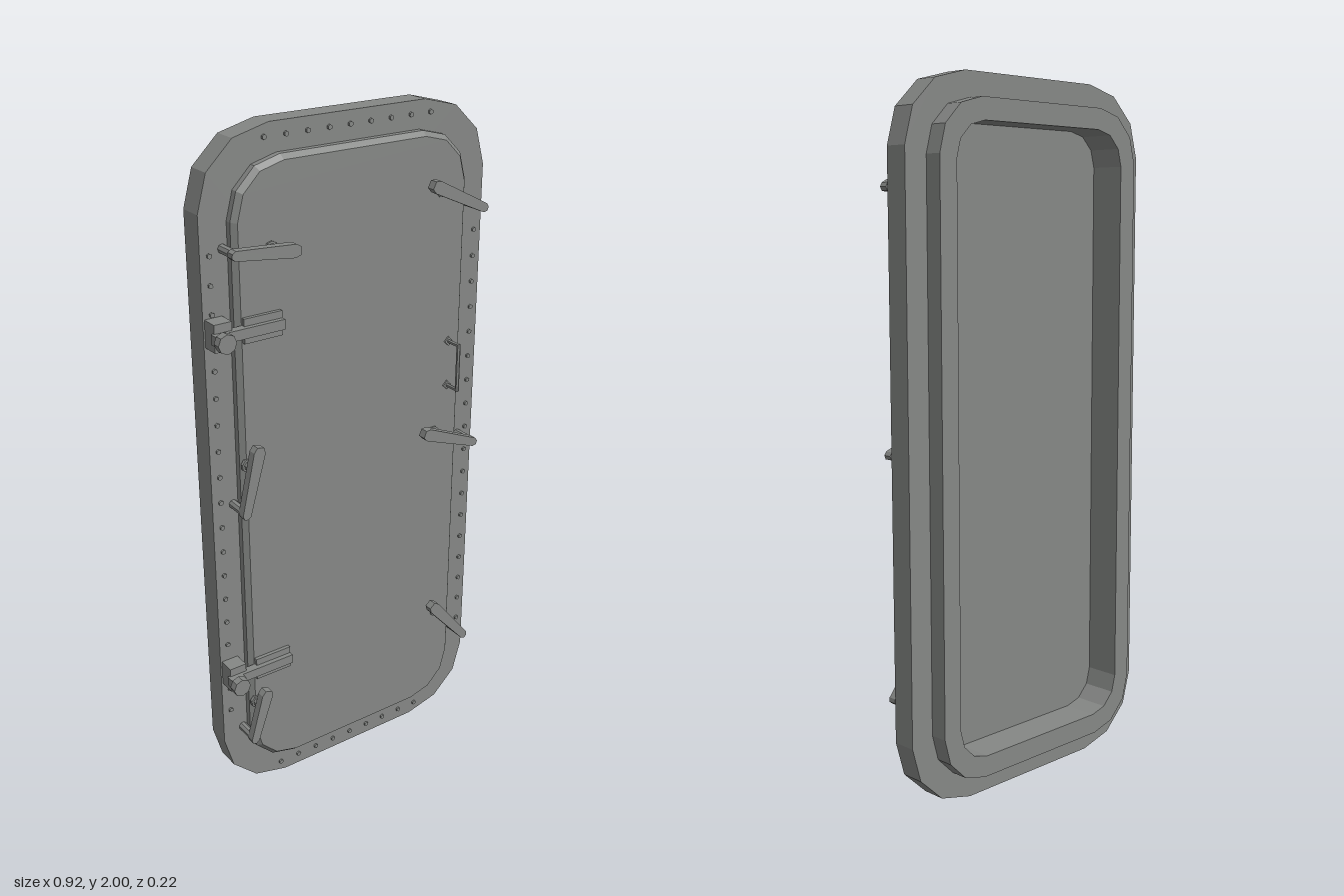
import * as THREE from 'three';

const CX = 0.004, CY = 1; // centre of the door panel

// Corner points of a rectangle with three-facet rounded corners
function roundedPoints(w, h, rx, ry) {
  const pts = [];
  const corners = [[1, 1], [-1, 1], [-1, -1], [1, -1]];
  corners.forEach(([sx, sy], q) => {
    for (let i = 0; i <= 3; i++) {
      const a = q * Math.PI / 2 + i * Math.PI / 6;
      pts.push(new THREE.Vector2(
        CX + sx * (w / 2 - rx) + rx * Math.cos(a),
        CY + sy * (h / 2 - ry) + ry * Math.sin(a)));
    }
  });
  return pts;
}

export function createModel() {
  const group = new THREE.Group();
  const steel = new THREE.MeshStandardMaterial({ color: 0x858785 });
  steel.name = 'grey painted steel';
  steel.flatShading = true;

  const add = (name, geo, x = 0, y = 0, z = 0, parent = group) => {
    const m = new THREE.Mesh(geo, steel);
    m.name = name;
    m.position.set(x, y, z);
    parent.add(m);
    return m;
  };
  // Box and z-facing cylinder given by their z range
  const box = (name, x0, x1, y0, y1, z0, z1, parent) =>
    add(name, new THREE.BoxGeometry(x1 - x0, y1 - y0, z1 - z0),
      (x0 + x1) / 2, (y0 + y1) / 2, (z0 + z1) / 2, parent);
  const pin = (name, x, y, r, z0, z1, sides, parent) =>
    add(name, new THREE.CylinderGeometry(r, r, z1 - z0, sides).rotateX(Math.PI / 2),
      x, y, (z0 + z1) / 2, parent);

  // Frame and rear coaming: two rings sharing one opening
  const opening = () => new THREE.Path(roundedPoints(0.646, 1.74, 0.1, 0.1));
  const ring = (name, pts, z0, z1) => {
    const shape = new THREE.Shape(pts);
    shape.holes.push(opening());
    add(name, new THREE.ExtrudeGeometry(shape, { depth: z1 - z0, bevelEnabled: false }), 0, 0, z0);
  };
  ring('frame', roundedPoints(0.907, 2, 0.21, 0.2), -0.058, 0.012);
  ring('rearCoaming', roundedPoints(0.764, 1.86, 0.15, 0.15), -0.11, -0.058);

  // Door panel with a chamfered rim
  add('doorPanel', new THREE.ExtrudeGeometry(
    new THREE.Shape(roundedPoints(0.748, 1.846, 0.15, 0.15)),
    { depth: 0.02, bevelEnabled: true, bevelSegments: 1, bevelSize: 0.013, bevelThickness: 0.015, bevelOffset: -0.013 }),
    0, 0, 0.01);

  // Rivets round the frame
  const rivets = new THREE.Group();
  rivets.name = 'rivets';
  group.add(rivets);
  for (let i = 0; i < 19; i++)
    for (const x of [-0.424, 0.432]) pin('rivet', x, 0.307 + i * 0.077, 0.007, 0.01, 0.018, 6, rivets);
  for (let i = 0; i < 9; i++)
    for (const y of [0.035, 1.965]) pin('rivet', CX + (i - 4) * 0.065, y, 0.007, 0.01, 0.018, 6, rivets);

  // Hinges on the right-hand edge
  for (const y of [0.447, 1.492]) {
    const hinge = new THREE.Group();
    hinge.name = 'hinge';
    group.add(hinge);
    box('hingeBracket', -0.445, -0.393, y - 0.038, y + 0.038, 0.01, 0.06, hinge);
    box('hingePlate', -0.355, -0.24, y - 0.034, y + 0.034, 0.04, 0.056, hinge);
    box('hingeArm', -0.43, -0.24, y - 0.014, y + 0.014, 0.045, 0.07, hinge);
    box('hingeNeck', -0.452, -0.41, y - 0.014, y + 0.014, 0.055, 0.088, hinge);
    pin('hingeKnob', -0.435, y, 0.027, 0.086, 0.109, 8, hinge);
  }

  // Locking levers: frame-side end, then free end
  const levers = [
    [-0.385, 1.705, -0.205, 1.687], [-0.385, 0.985, -0.338, 1.165], [-0.385, 0.23, -0.338, 0.375],
    [0.402, 1.702, 0.232, 1.785], [0.402, 0.985, 0.225, 1.055], [0.4, 0.295, 0.273, 0.445],
  ];
  for (const [x0, y0, x1, y1] of levers) {
    const lever = new THREE.Group();
    lever.name = 'lockingLever';
    lever.position.set(x0, y0, 0);
    lever.rotation.z = Math.atan2(y1 - y0, x1 - x0);
    group.add(lever);
    const L = Math.hypot(x1 - x0, y1 - y0);
    const outline = [[-0.016, -0.006], [-0.006, -0.013], [L - 0.01, -0.018], [L + 0.006, -0.011],
      [L + 0.006, 0.011], [L - 0.01, 0.018], [-0.006, 0.013], [-0.016, 0.006]];
    const bar = new THREE.Shape(outline.map(([x, y]) => new THREE.Vector2(x, y)));
    add('leverBar', new THREE.ExtrudeGeometry(bar, { depth: 0.024, bevelEnabled: false }), 0, 0, 0.065, lever);
    pin('leverPost', 0, 0, 0.013, 0.01, 0.066, 8, lever);
    pin('leverPivot', L * 0.68, 0, 0.014, 0.04, 0.066, 8, lever);
    pin('leverPivotBase', L * 0.68, 0, 0.02, 0.04, 0.05, 8, lever);
  }

  // Pull handle
  const handle = new THREE.Group();
  handle.name = 'pullHandle';
  group.add(handle);
  for (const y of [1.175, 1.312]) {
    pin('handleFoot', 0.327, y, 0.014, 0.04, 0.05, 4, handle);
    pin('handleLeg', 0.327, y, 0.006, 0.045, 0.097, 6, handle);
  }
  add('handleGrip', new THREE.CylinderGeometry(0.006, 0.006, 0.145, 6), 0.327, 1.2435, 0.094, handle);
  return group;
}
